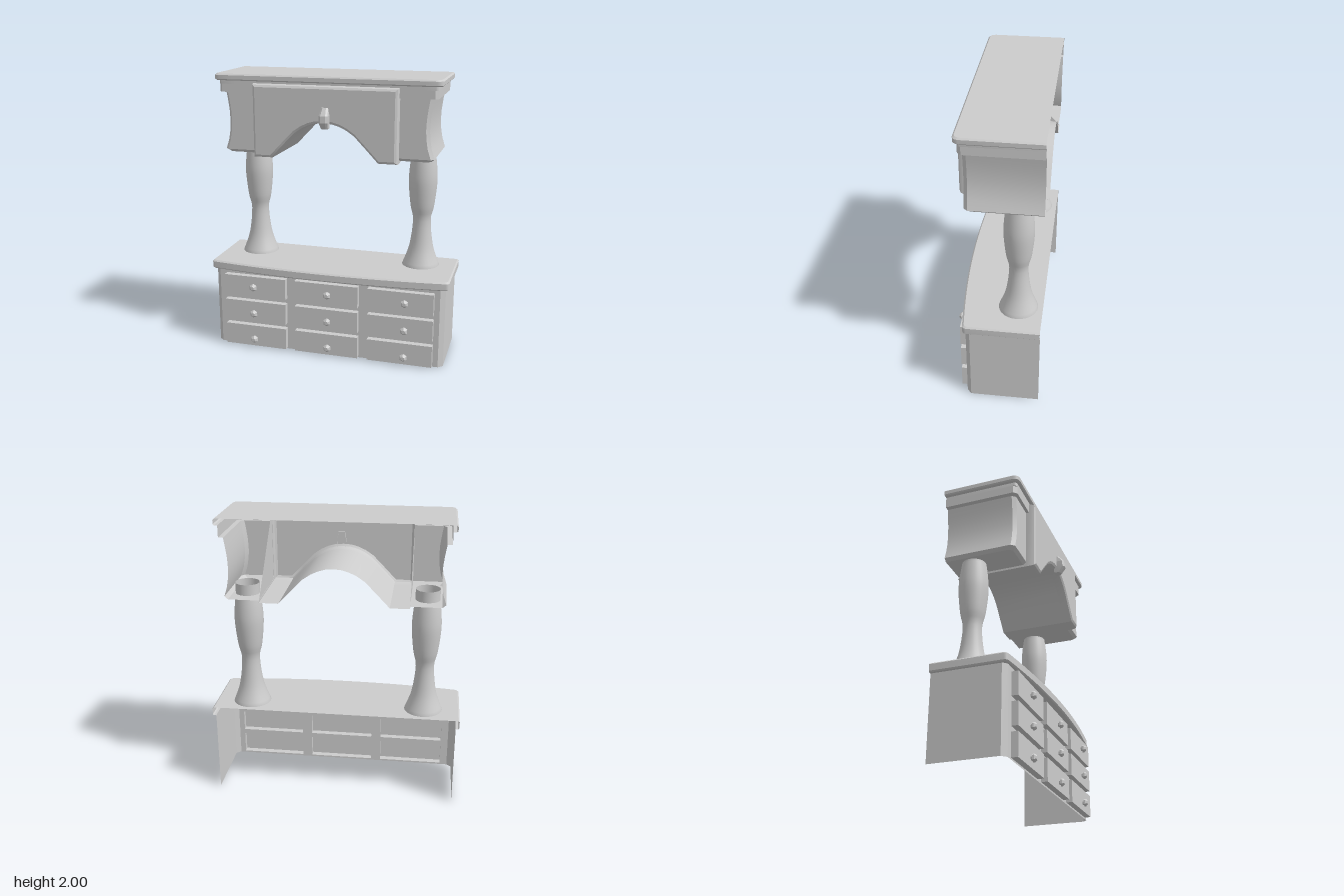
import * as THREE from 'three';
import { toCreasedNormals } from 'three/addons/utils/BufferGeometryUtils.js';

const BACK = -0.31;
const grey = new THREE.MeshStandardMaterial({ color: 0xcccccc, side: THREE.DoubleSide });
grey.name = 'plain grey';

// Skin a surface through rings of [x, y, z] points
function loft(rings, closed = false) {
  const pos = [];
  for (let r = 0; r < rings.length - 1; r++) {
    const a = rings[r], b = rings[r + 1], n = a.length;
    for (let i = 0; i < (closed ? n : n - 1); i++) {
      const j = (i + 1) % n;
      pos.push(...a[i], ...a[j], ...b[i], ...a[j], ...b[j], ...b[i]);
    }
  }
  const g = new THREE.BufferGeometry();
  g.setAttribute('position', new THREE.Float32BufferAttribute(pos, 3));
  return toCreasedNormals(g, 0.5);
}

// Flat caps: lying at a ring's height, or upright at a ring's depth
const lyingCap = (ring) => new THREE.ShapeGeometry(
  new THREE.Shape(ring.map(([x, , z]) => new THREE.Vector2(x, -z)))).rotateX(-Math.PI / 2).translate(0, ring[0][1], 0);
const uprightCap = (ring) => new THREE.ShapeGeometry(
  new THREE.Shape(ring.map(([x, y]) => new THREE.Vector2(x, y)))).translate(0, 0, ring[0][2]);

// U-shaped outline, open at the back, with rounded front corners and a bowed front
function outline(w, f, c, y, bow = 0) {
  const half = [[w, y, BACK], [w, y, f - c], [w - c * 0.1, y, f - c * 0.6], [w - c * 0.3, y, f - c * 0.3], [w - c * 0.6, y, f - c * 0.1]];
  const front = [];
  for (let i = 0; i <= 16; i++) {
    const t = 1 - i / 8;
    front.push([t * (w - c), y, f + bow * (1 - t * t)]);
  }
  return [...half, ...front, ...half.map(([x, yy, z]) => [-x, yy, z]).reverse()];
}

// Apron outline, counterclockwise, inset by i
const ARCH = [[-0.37, 1.44], [-0.29, 1.525], [-0.205, 1.613], [-0.15, 1.65], [-0.1, 1.673], [-0.05, 1.687]];
function apronBottom(i, z) {
  const left = ARCH.map(([x, y]) => [x - i * 0.4, y + i, z]);
  return [[-0.502 + i, 1.44 + i, z], ...left, [0, 1.691 + i, z],
    ...left.map(([x, y]) => [-x, y, z]).reverse(), [0.502 - i, 1.44 + i, z]];
}
const apronRing = (i, z) => [...apronBottom(i, z), [0.502 - i, 1.94 - i, z], [-0.502 + i, 1.94 - i, z]];

export function createModel() {
  const model = new THREE.Group();
  model.name = 'dressingTable';
  const add = (name, geo, parent = model) => {
    const m = new THREE.Mesh(geo, grey);
    m.name = name;
    parent.add(m);
    return m;
  };
  const pair = (name, geo) => {
    add('left' + name, geo);
    add('right' + name, geo).scale.x = -1;
  };

  // Drawer base: side walls and a front frame with nine openings
  pair('BaseSide', loft([0.58, 0].map((y) => [[0.845, y, BACK], [0.845, y, 0.16], [0.812, y, 0.19]])));
  const frame = new THREE.Shape([[-0.812, 0], [0.812, 0], [0.812, 0.58], [-0.812, 0.58]].map((p) => new THREE.Vector2(...p)));
  const knob = new THREE.LatheGeometry(
    [[0.014, 0], [0.016, 0.008], [0.028, 0.012], [0.027, 0.024], [0.014, 0.037], [0, 0.037]].map((p) => new THREE.Vector2(...p)), 6);
  const knobGeo = toCreasedNormals(knob.rotateX(Math.PI / 2), 0.3);
  const drawers = new THREE.Group();
  drawers.name = 'drawers';
  model.add(drawers);
  for (const [cx, kx] of [[-0.527, -0.534], [0.007, 0.021], [0.542, 0.576]]) {
    for (const [y0, y1, ky] of [[0.012, 0.17, 0.07], [0.205, 0.36, 0.272], [0.395, 0.552, 0.475]]) {
      const x0 = cx - 0.232, x1 = cx + 0.232;
      const ring = (z) => [[x0, y0, z], [x1, y0, z], [x1, y1, z], [x0, y1, z]];
      frame.holes.push(new THREE.Path(ring(0).map(([x, y]) => new THREE.Vector2(x, y)).reverse()));
      add('drawerSides', loft([ring(0.19), ring(0.234)], true), drawers);
      add('drawerFront', uprightCap(ring(0.234)), drawers);
      add('drawerKnob', knobGeo, drawers).position.set(kx, ky, 0.234);
    }
  }
  add('baseFrame', new THREE.ShapeGeometry(frame).translate(0, 0, 0.19));

  // Bowed counter top
  const counter = [
    outline(0.86, 0.195, 0.025, 0.64, 0.055), outline(0.87, 0.205, 0.025, 0.63, 0.055),
    outline(0.87, 0.205, 0.025, 0.586, 0.055), outline(0.862, 0.197, 0.025, 0.578, 0.055),
    outline(0.845, 0.19, 0.03, 0.578)];
  add('counterEdge', loft(counter));
  add('counterTop', lyingCap(counter[0]));

  // Turned columns, poking through into the upper case
  const profile = new THREE.SplineCurve([[0.133, 0.64], [0.085, 0.78], [0.063, 0.97], [0.084, 1.08], [0.1, 1.24], [0.096, 1.35], [0.083, 1.455]]
    .map((p) => new THREE.Vector2(...p))).getPoints(24);
  const column = new THREE.LatheGeometry([new THREE.Vector2(0.133, 0.62), ...profile, new THREE.Vector2(0.083, 1.53)], 28);
  pair('Column', column.translate(0.614, 0, -0.143));

  // Cornice
  const cornice = [
    outline(0.775, 0.225, 0.04, 2), outline(0.785, 0.235, 0.04, 1.99),
    outline(0.785, 0.235, 0.04, 1.963), outline(0.777, 0.227, 0.04, 1.955),
    outline(0.755, 0.212, 0.02, 1.955), outline(0.755, 0.212, 0.02, 1.93)];
  add('corniceEdge', loft(cornice));
  add('corniceTop', lyingCap(cornice[0]));

  // Upper case ends: frieze band, waisted sides, chamfered foot and floor
  const end = (w, f, y) => [[w, y, BACK], [w, y, f - 0.025], [w - 0.022, y, f], [0.5, y, f]];
  pair('CaseEnd', loft([
    end(0.755, 0.212, 1.93), end(0.755, 0.212, 1.875), end(0.722, 0.19, 1.875), end(0.711, 0.19, 1.81),
    end(0.702, 0.19, 1.74), end(0.699, 0.19, 1.67), end(0.702, 0.19, 1.61), end(0.714, 0.19, 1.54),
    end(0.735, 0.19, 1.475), end(0.712, 0.168, 1.455)]));
  pair('CaseFloor', lyingCap([...end(0.712, 0.168, 1.455), [0.5, 1.455, BACK]]));

  // Arched apron with its soffit running to the back and triangular cheeks
  const face = apronRing(0.02, 0.255);
  add('apronEdge', loft([apronRing(0, 0.19), apronRing(0, 0.226), apronRing(0.006, 0.246), face], true));
  add('apronFace', uprightCap(face));
  add('archSoffit', loft([apronBottom(0, -0.315), apronBottom(0, 0.19)]));
  pair('ApronCheek', loft([[[0.502, 1.44, 0.19], [0.502, 1.44, -0.315]], [[0.502, 1.94, 0.19], [0.502, 1.94, 0.19]]]));

  // Faceted keystone over the arch
  const stone = [[1.8, 0.022, 0.27], [1.75, 0.031, 0.31], [1.705, 0.03, 0.313], [1.66, 0.024, 0.28]].map(([y, w, z]) => {
    const s = z - 0.012;
    return [[w, y, 0.235], [w, y, s], [w * 0.55, y, z], [-w * 0.55, y, z], [-w, y, s], [-w, y, 0.235]];
  });
  const keystone = new THREE.Group();
  keystone.name = 'keystone';
  keystone.position.x = 0.013;
  model.add(keystone);
  add('keystoneBody', toCreasedNormals(loft(stone), 0.2), keystone);
  add('keystoneTop', lyingCap(stone[0]), keystone);
  add('keystoneBottom', lyingCap(stone[3]), keystone);

  return model;
}
